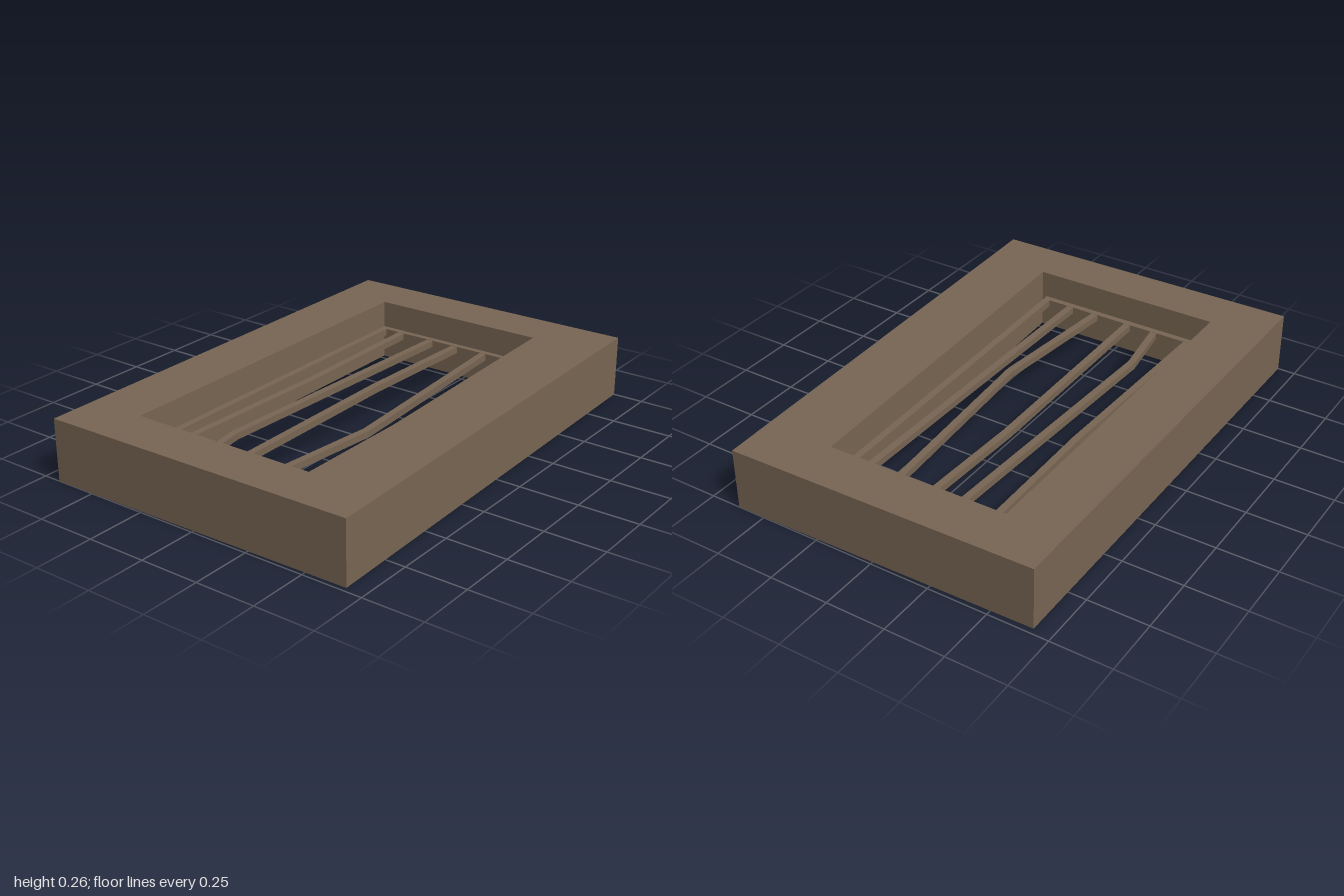
import * as THREE from 'three';

const HEIGHT = 0.26;
const BAR = 0.03; // bar width and thickness
const BAR_Y = 0.115; // underside of the grate

// Points are [x, z] pairs on the ground plane.
const toVectors = (points) => points.map(([x, z]) => new THREE.Vector2(x, -z));

// Upright slab from a plan outline, optionally with a hole.
function slab(name, outline, y, height, material, hole) {
  const shape = new THREE.Shape(toVectors(outline));
  if (hole) shape.holes.push(new THREE.Path(toVectors(hole)));
  const geometry = new THREE.ExtrudeGeometry(shape, { depth: height, bevelEnabled: false });
  geometry.rotateX(-Math.PI / 2);
  geometry.translate(0, y, 0);
  const mesh = new THREE.Mesh(geometry, material);
  mesh.name = name;
  return mesh;
}

export function createModel() {
  const model = new THREE.Group();
  model.name = 'windowFrame';
  const wood = new THREE.MeshStandardMaterial({ color: 0x786653 });
  wood.name = 'brown wood';

  // Thick, slightly crooked surround
  model.add(slab(
    'surround',
    [[-0.675, 1], [0.673, 0.98], [0.62, -1], [-0.675, -0.975]],
    0, HEIGHT, wood,
    [[-0.435, 0.79], [0.39, 0.785], [0.33, -0.785], [-0.435, -0.775]],
  ));

  // Thin rim that holds the bars
  model.add(slab(
    'grateRim',
    [[-0.433, 0.788], [0.367, 0.783], [0.329, -0.783], [-0.433, -0.773]],
    BAR_Y, BAR, wood,
    [[-0.405, 0.76], [0.337, 0.757], [0.3, -0.757], [-0.405, -0.747]],
  ));

  // Bent bars: [x, z] of the back end, the bend and the front end
  const bars = [
    [[-0.325, -0.755], [-0.318, -0.1], [-0.345, 0.765]],
    [[-0.17, -0.755], [-0.225, 0.5], [-0.185, 0.765]],
    [[-0.043, -0.755], [-0.065, -0.2], [-0.057, 0.765]],
    [[0.103, -0.755], [0.167, 0.18], [0.105, 0.765]],
    [[0.247, -0.755], [0.24, 0], [0.23, 0.765]],
  ];
  const grate = new THREE.Group();
  grate.name = 'grateBars';
  for (const path of bars) {
    const left = path.map(([x, z]) => [x - BAR / 2, z]);
    const right = path.map(([x, z]) => [x + BAR / 2, z]).reverse();
    grate.add(slab('bar', [...left, ...right], BAR_Y + 0.001, BAR - 0.002, wood));
  }
  model.add(grate);
  return model;
}
